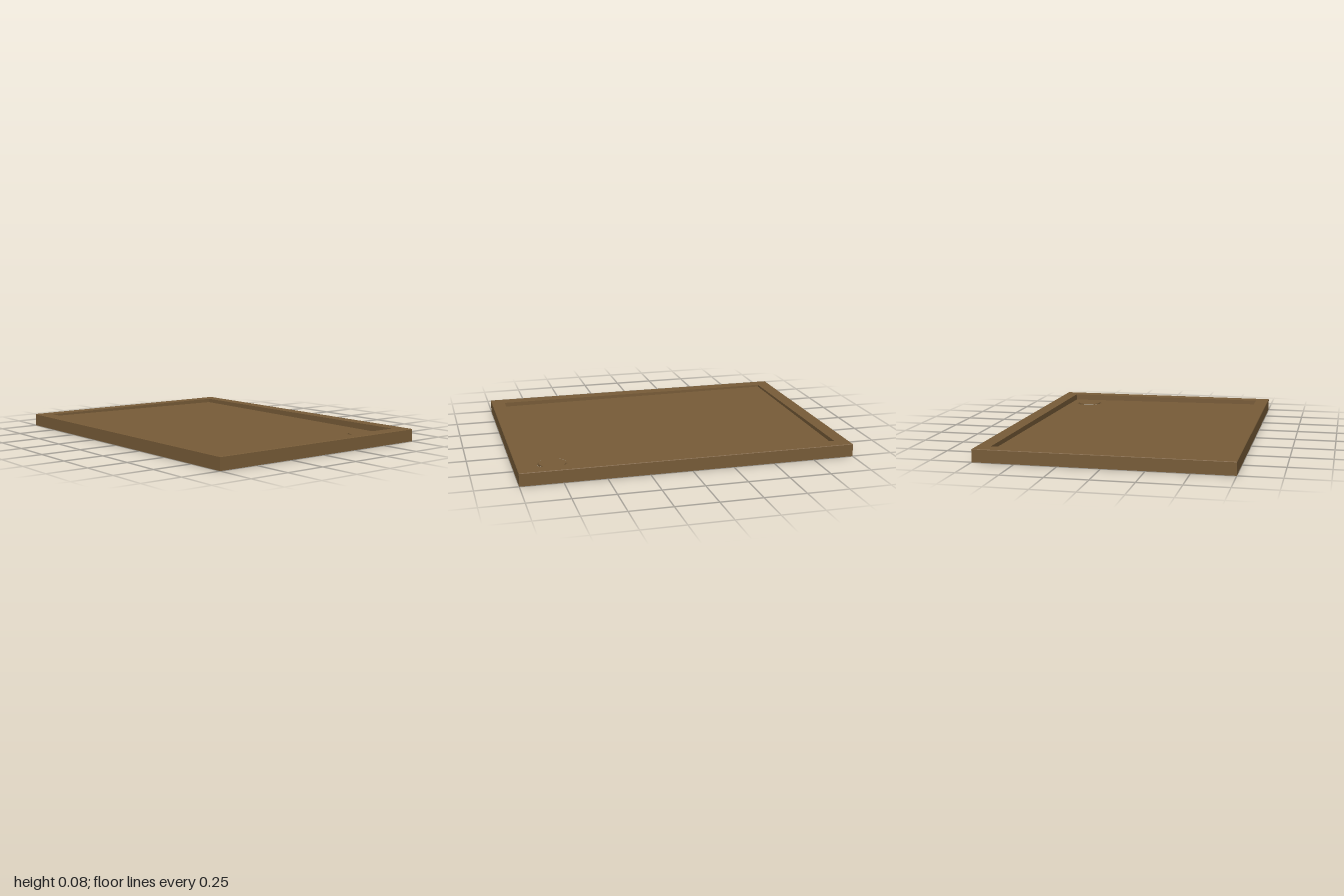
import * as THREE from 'three';

const HX = 0.75, HZ = 1, H = 0.077;      // outer half sizes and height
const BX = 0.665, BZ = 0.915;            // basin half sizes
const DX = 0.53, DZ = 0.78;              // drain centre
const HOLE_R = 0.088, COVER_R = 0.077;

// Basin floor falls gently towards the drain corner
const floorY = (x, z) => H - 0.026 - 0.006 * (x / BX) - 0.007 * (z / BZ);

// Rectangular loop of four corners; y may be a number or a rule
function loop(hx, hz, y) {
  return [[1, 1], [1, -1], [-1, -1], [-1, 1]].map(([sx, sz]) => {
    const x = sx * hx, z = sz * hz;
    return new THREE.Vector3(x, typeof y === 'function' ? y(x, z) : y, z);
  });
}

// Flat-faced skin joining successive loops
function skin(loops) {
  const points = [];
  for (let i = 0; i < loops.length - 1; i++) {
    const lo = loops[i], up = loops[i + 1];
    for (let k = 0; k < 4; k++) {
      const n = (k + 1) % 4;
      points.push(lo[k], lo[n], up[n], lo[k], up[n], up[k]);
    }
  }
  const g = new THREE.BufferGeometry().setFromPoints(points);
  g.computeVertexNormals();
  return g;
}

export function createModel() {
  const group = new THREE.Group();
  const trayBrown = new THREE.MeshStandardMaterial({ color: 0x785c38, side: THREE.DoubleSide });
  trayBrown.name = 'trayBrown';
  const add = (name, geometry) => {
    const mesh = new THREE.Mesh(geometry, trayBrown);
    mesh.name = name;
    group.add(mesh);
    return mesh;
  };

  // Hollow shell: skirt, eased edge, rim and basin walls
  const e = 0.003;
  add('skirtAndRim', skin([
    loop(HX, HZ, 0),
    loop(HX, HZ, H - e),
    loop(HX - e, HZ - e, H),
    loop(BX, BZ, H),
    loop(BX, BZ, floorY),
  ]));

  // Sloping floor with the drain hole
  const shape = new THREE.Shape([
    new THREE.Vector2(-BX, -BZ), new THREE.Vector2(BX, -BZ),
    new THREE.Vector2(BX, BZ), new THREE.Vector2(-BX, BZ),
  ]);
  shape.holes.push(new THREE.Path().absarc(DX, -DZ, HOLE_R, 0, Math.PI * 2, true));
  const floor = new THREE.ShapeGeometry(shape, 32).rotateX(-Math.PI / 2);
  const p = floor.attributes.position;
  for (let i = 0; i < p.count; i++) p.setY(i, floorY(p.getX(i), p.getZ(i)));
  floor.computeVertexNormals();
  add('basinFloor', floor);

  // Rounded lip turning down into the drain
  const y0 = floorY(DX, DZ);
  const lip = [[0.074, -0.02], [0.077, -0.01], [0.082, -0.003], [HOLE_R, 0]]
    .map(([r, y]) => new THREE.Vector2(r, y));
  add('drainLip', new THREE.LatheGeometry(lip, 64)).position.set(DX, y0, DZ);

  // Thin round drain cover
  add('drainCover', new THREE.CylinderGeometry(COVER_R, COVER_R, 0.004, 64))
    .position.set(DX, y0 + 0.003, DZ);

  return group;
}
